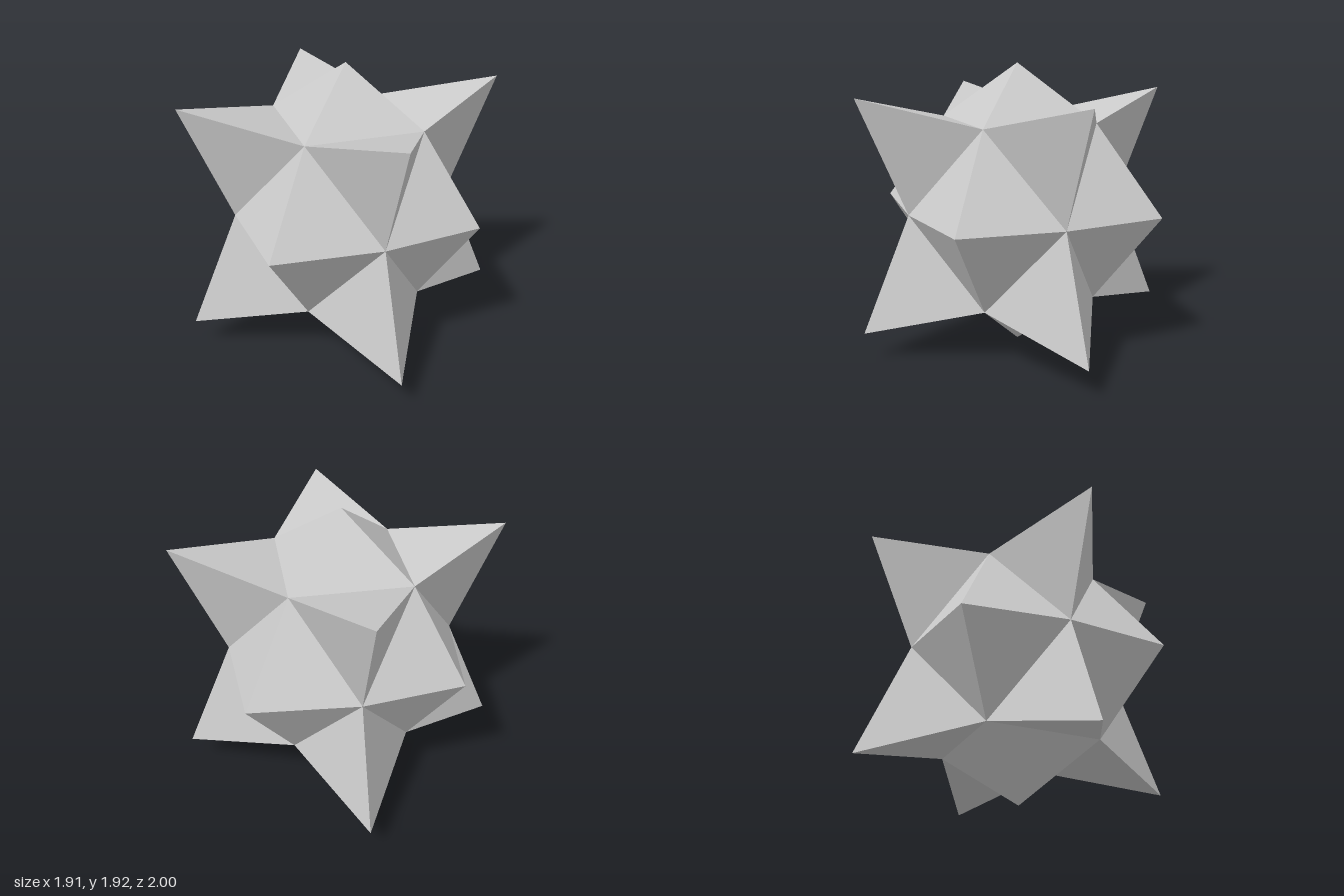
import * as THREE from 'three';

const CENTER_Y = 0.962;
const SIGNS = [1, -1];
const v = (x, y, z) => new THREE.Vector3(x, y, z);

// Valley points shared by neighbouring spikes, one per pair of axes
const valleyXY = (sx, sy) => v(0.55 * sx, 0.588 * sy, 0);
const valleyYZ = (sy, sz) => v(0, 0.588 * sy, 0.55 * sz);
const valleyXZ = (sx, sz) => v(0.54 * sx, 0, 0.54 * sz);

// Open pyramid over a ring of base points, wound to face outwards
function spike(name, apex, ring, material) {
  const points = [];
  ring.forEach((a, i) => {
    const b = ring[(i + 1) % ring.length];
    const outward = a.clone().cross(b).dot(apex) > 0;
    points.push(apex, ...(outward ? [a, b] : [b, a]));
  });
  const geometry = new THREE.BufferGeometry().setFromPoints(points);
  geometry.computeVertexNormals();
  const mesh = new THREE.Mesh(geometry, material);
  mesh.name = name;
  return mesh;
}

export function createModel() {
  const group = new THREE.Group();
  group.name = 'spikedStar';
  const material = new THREE.MeshStandardMaterial({ color: 0xcccccc, flatShading: true });

  const star = new THREE.Group();
  star.name = 'spikes';
  star.position.y = CENTER_Y;
  group.add(star);

  // Six four-sided spikes along the axes
  for (const s of SIGNS) {
    star.add(
      spike('sideSpike', v(0.955 * s, 0, 0),
        [valleyXY(s, 1), valleyXZ(s, 1), valleyXY(s, -1), valleyXZ(s, -1)], material),
      spike('verticalSpike', v(0, 0.962 * s, 0),
        [valleyXY(1, s), valleyYZ(s, 1), valleyXY(-1, s), valleyYZ(s, -1)], material),
      spike('frontBackSpike', v(0, 0, s),
        [valleyXZ(1, s), valleyYZ(1, s), valleyXZ(-1, s), valleyYZ(-1, s)], material)
    );
  }

  // Eight three-sided spikes at the diagonals
  for (const sx of SIGNS) for (const sy of SIGNS) for (const sz of SIGNS) {
    star.add(spike('cornerSpike', v(0.767 * sx, 0.767 * sy, 0.767 * sz),
      [valleyXY(sx, sy), valleyYZ(sy, sz), valleyXZ(sx, sz)], material));
  }
  return group;
}
